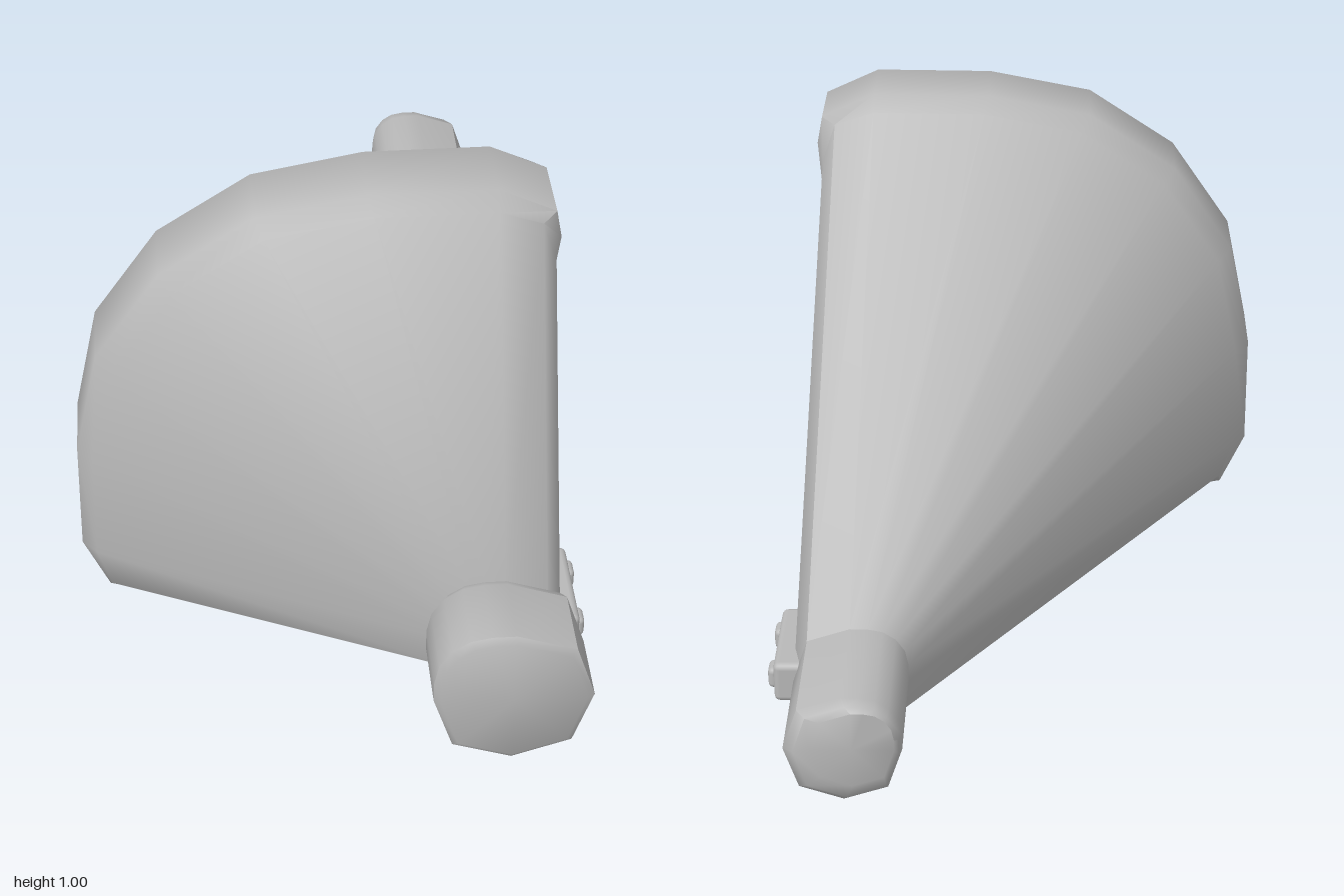
import * as THREE from 'three';
import { toCreasedNormals } from 'three/addons/utils/BufferGeometryUtils.js';
import { RoundedBoxGeometry } from 'three/addons/geometries/RoundedBoxGeometry.js';

const CX = 0.333, CY = 0.17; // axis of the rod

// Outer sweep of the quarter fan, from straight up round to the left
const ARC = [[0, 1], [-0.3, 0.997], [-0.565, 0.945], [-0.79, 0.795], [-0.945, 0.566], [-1, 0.29], [-1, 0]];

// Quarter fan of reach R with rounded corners of radius r; bulge swells the two tips
function section({ z, R = 0, r = 0.113, bulge = 0, dx = 0, dy = 0 }) {
  const diagonal = 0.75 * r;
  const a = diagonal + bulge * 0.03, b = R + diagonal - bulge * 0.025;
  const tip = r + bulge * 0.013, side = R * 0.87;
  const points = [
    ...ARC.map(([x, y]) => [x * (R + r), y * (R + r)]),
    [-b, -a], [-R, -tip], [-side, -r],
    [0, -r], [diagonal, -diagonal], [r, 0],
    [r, side], [tip, R], [a, b],
  ];
  return points.map(([x, y]) => [CX + dx + x, CY + dy + y, z]);
}

// Skin through sections ordered front to back, closed at both ends
function loft(specs, crease) {
  const rings = specs.map(section);
  const n = rings[0].length, pos = rings.flat(2), index = [];
  for (let i = 0; i < rings.length - 1; i++) {
    for (let j = 0; j < n; j++) {
      const a = i * n + j, b = i * n + (j + 1) % n;
      index.push(a, a + n, b, b, a + n, b + n);
    }
  }
  const last = (rings.length - 1) * n, front = rings.length * n;
  for (const s of [specs[0], specs[specs.length - 1]]) pos.push(CX + (s.dx || 0), CY + (s.dy || 0), s.z);
  for (let j = 0; j < n; j++) {
    const k = (j + 1) % n;
    index.push(front, j, k, front + 1, last + k, last + j);
  }
  const g = new THREE.BufferGeometry();
  g.setAttribute('position', new THREE.Float32BufferAttribute(pos, 3));
  g.setIndex(index);
  return toCreasedNormals(g, crease);
}

export function createModel() {
  const model = new THREE.Group();
  model.name = 'fanHousing';
  const grey = new THREE.MeshStandardMaterial({ color: 0xb8b8b8 });
  grey.name = 'grey';

  const add = (parent, name, geometry, x = 0, y = 0, z = 0) => {
    const mesh = new THREE.Mesh(geometry, grey);
    mesh.name = name;
    mesh.position.set(x, y, z);
    parent.add(mesh);
  };

  // Wedge body with a bevelled rim
  add(model, 'fanBody', loft([
    { z: 0.815 },
    { z: 0.51, R: 0.687 },
    { z: 0.475, R: 0.717, bulge: 1 },
    { z: 0.32, R: 0.717, bulge: 1 },
    { z: 0.285, R: 0.687 },
    { z: -0.72 },
  ], 0.9));

  // Rod behind the body, with a softened end
  add(model, 'rearRod', loft([
    { z: -0.715 },
    { z: -0.965 },
    { z: -0.99, r: 0.1, dx: -0.008, dy: 0.008 },
    { z: -1, r: 0.08, dx: -0.02, dy: 0.02 },
  ], 0.9));

  // Wide cap at the front
  add(model, 'frontCap', loft([
    { z: 1, r: 0.142 },
    { z: 0.99, r: 0.156 },
    { z: 0.84, r: 0.156 },
    { z: 0.815, r: 0.142 },
  ], 0.9));

  // Bolted brackets on the left side and underneath, at both ends
  const plate = new RoundedBoxGeometry(0.065, 0.086, 0.222, 2, 0.013);
  const bolt = new RoundedBoxGeometry(0.05, 0.045, 0.045, 2, 0.011);
  for (const [place, z] of [['front', 0.702], ['rear', -0.62]]) {
    for (const where of ['Side', 'Under']) {
      const bracket = new THREE.Group();
      bracket.name = place + where + 'Bracket';
      add(bracket, 'plate', plate, 0.12);
      for (const dz of [-0.072, 0.072]) add(bracket, 'bolt', bolt, 0.14, 0, dz);
      if (where === 'Side') {
        bracket.position.set(CX, 0.163, z);
      } else {
        bracket.position.set(0.34, 0.165, z);
        bracket.rotation.z = -Math.PI / 2;
      }
      model.add(bracket);
    }
  }
  return model;
}
